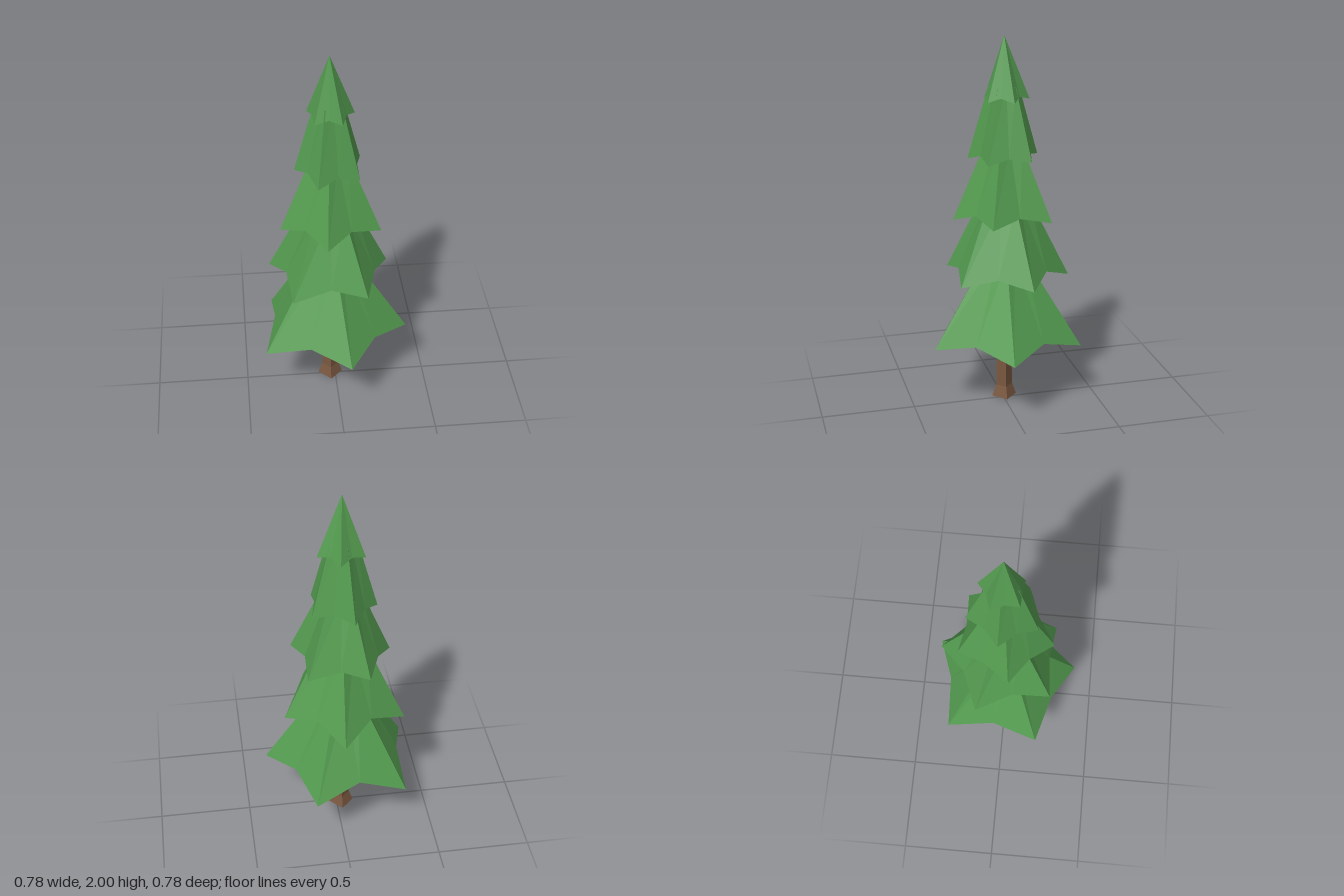
import * as THREE from 'three';

// Trunk axis, slightly off the origin
const CX = -0.027, CZ = -0.011;

// Each tier: five branch tips [x, y, z], height of the notches between them,
// height of the hidden top ring and its scale relative to the skirt
const TIERS = [
  { name: 'bottomTier', notchY: 0.4, topY: 0.83, topScale: 0.25,
    tips: [[0.155, 0.33, -0.392], [0.39, 0.35, 0.04], [0.055, 0.345, 0.39], [-0.393, 0.33, 0.197], [-0.341, 0.31, -0.305]] },
  { name: 'lowerTier', notchY: 0.765, topY: 1.13, topScale: 0.38,
    tips: [[0, 0.69, -0.362], [0.29, 0.715, -0.09], [0.15, 0.72, 0.265], [-0.245, 0.71, 0.257], [-0.35, 0.69, -0.14]] },
  { name: 'middleTier', notchY: 1.08, topY: 1.44, topScale: 0.37,
    tips: [[0.175, 1.045, -0.215], [0.23, 1.045, 0.112], [-0.06, 1.03, 0.26], [-0.292, 1.03, 0.032], [-0.145, 1.04, -0.245]] },
  { name: 'upperTier', notchY: 1.385, topY: 1.74, topScale: 0.42,
    tips: [[0.14, 1.365, -0.115], [0.117, 1.355, 0.11], [-0.1, 1.348, 0.17], [-0.21, 1.355, -0.027], [-0.07, 1.36, -0.202]] },
  { name: 'topTier', notchY: 1.69, topY: 2, topScale: 0,
    tips: [[-0.005, 1.67, -0.14], [0.102, 1.67, -0.033], [0.03, 1.665, 0.09], [-0.11, 1.665, 0.075], [-0.14, 1.67, -0.07]] },
];

// Star-shaped skirt with a hollowed underside
function tierGeometry({ tips, notchY, topY, topScale }) {
  const polar = tips.map(([x, , z]) => ({ r: Math.hypot(x - CX, z - CZ), a: Math.atan2(z - CZ, x - CX) }));
  const notchR = 0.73 * polar.reduce((sum, p) => sum + p.r, 0) / tips.length;

  // Alternate tips and notches around the rim
  const rim = [];
  tips.forEach((tip, i) => {
    const a = polar[i].a;
    let b = polar[(i + 1) % tips.length].a;
    if (b < a) b += Math.PI * 2;
    const mid = (a + b) / 2;
    rim.push(tip, [CX + notchR * Math.cos(mid), notchY, CZ + notchR * Math.sin(mid)]);
  });
  const top = rim.map(([x, , z]) => [CX + (x - CX) * topScale, topY, CZ + (z - CZ) * topScale]);
  const under = [CX, notchY + 0.05, CZ];

  const pos = [];
  const tri = (...corners) => corners.forEach((c) => pos.push(...c));
  rim.forEach((p, i) => {
    const j = (i + 1) % rim.length;
    tri(rim[j], p, top[i]);
    if (topScale > 0) {
      tri(rim[j], top[i], top[j]);
      tri(top[j], top[i], [CX, topY, CZ]);
    }
    tri(p, rim[j], under);
  });
  const geometry = new THREE.BufferGeometry();
  geometry.setAttribute('position', new THREE.Float32BufferAttribute(pos, 3));
  geometry.computeVertexNormals();
  return geometry;
}

export function createModel() {
  const needles = new THREE.MeshStandardMaterial({ color: 0x539a4f, flatShading: true });
  needles.name = 'needleGreen';
  const bark = new THREE.MeshStandardMaterial({ color: 0x7a5840, flatShading: true });
  bark.name = 'barkBrown';

  const tree = new THREE.Group();
  tree.name = 'firTree';

  // Four-sided trunk with a flared foot
  const profile = [[0, 0], [0.067, 0], [0.045, 0.065], [0.036, 0.5]].map(([r, y]) => new THREE.Vector2(r, y));
  const trunk = new THREE.Mesh(new THREE.LatheGeometry(profile, 4), bark);
  trunk.name = 'trunk';
  trunk.position.set(CX, 0, CZ);
  tree.add(trunk);

  // Stacked branch tiers
  for (const tier of TIERS) {
    const mesh = new THREE.Mesh(tierGeometry(tier), needles);
    mesh.name = tier.name;
    tree.add(mesh);
  }
  return tree;
}
